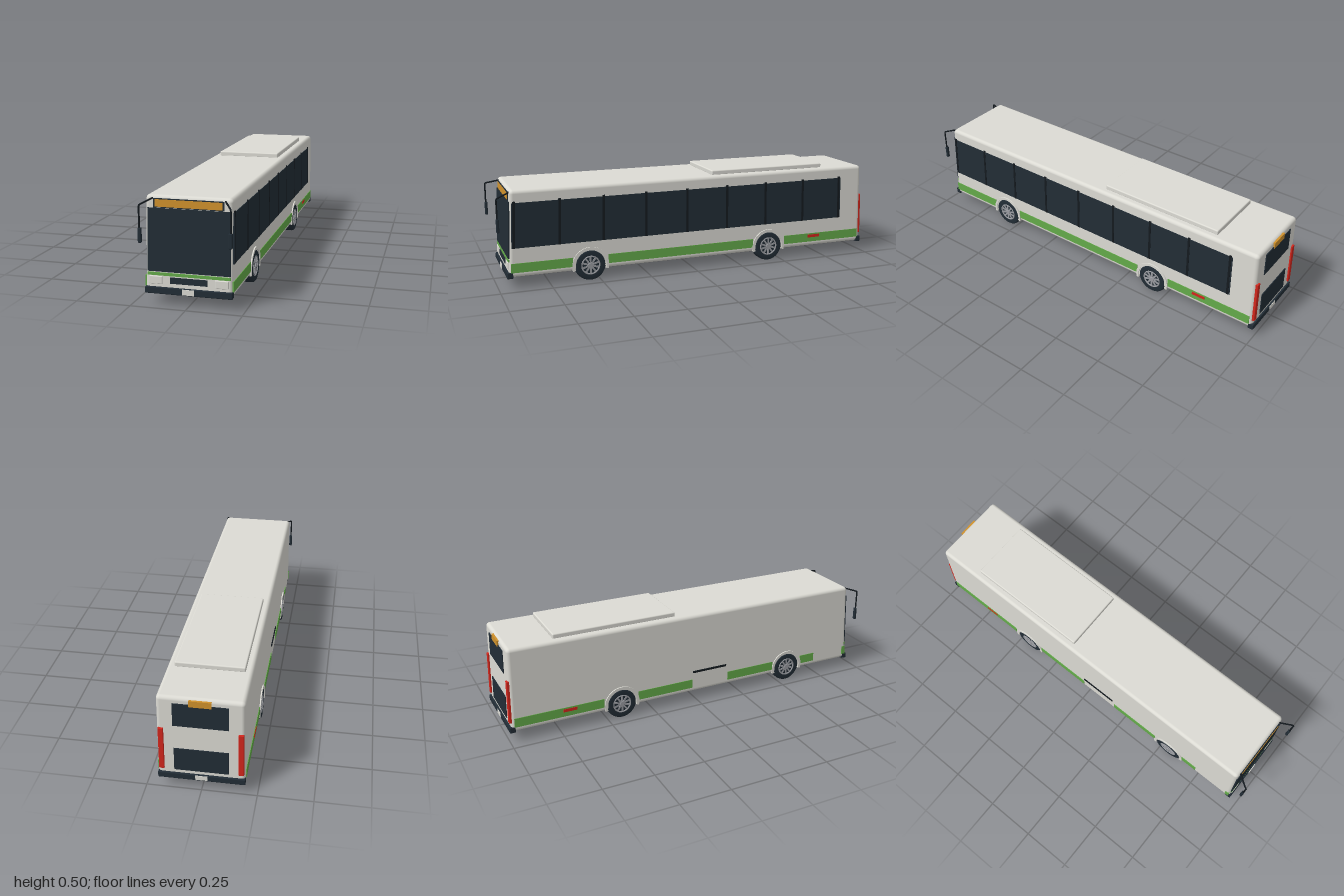
import * as THREE from 'three';
import { RoundedBoxGeometry } from 'three/addons/geometries/RoundedBoxGeometry.js';

const mat = (name, color, side = THREE.FrontSide) => {
  const m = new THREE.MeshStandardMaterial({ color, side });
  m.name = name;
  return m;
};

export function createModel() {
  const bus = new THREE.Group();
  bus.name = 'cityBus';
  const white = mat('bodyWhite', 0xdcdbd4);
  const dark = mat('darkGlass', 0x222d36);
  const black = mat('blackTrim', 0x141a1f);
  const green = mat('stripeGreen', 0x64ab4a);
  const amber = mat('signAmber', 0xd1922c);
  const red = mat('lampRed', 0xd4261c);
  const silver = mat('rimSilver', 0x9b9da2);

  const add = (name, geo, material, parent = bus) => {
    const mesh = new THREE.Mesh(geo, material);
    mesh.name = name;
    parent.add(mesh);
    return mesh;
  };

  // Lean the front, back and sides slightly inwards towards the roof
  const lean = (geo) => {
    const p = geo.attributes.position;
    for (let i = 0; i < p.count; i++) {
      const t = (p.getY(i) - 0.055) / 0.425;
      const z = p.getZ(i);
      p.setX(i, p.getX(i) * (1 - 0.015 * t));
      p.setZ(i, z * (1 - (z > 0 ? 0.022 : 0.01) * t));
    }
    return geo;
  };

  // Box given by its limits; a radius rounds its edges
  const box = (name, material, [x0, x1], [y0, y1], [z0, z1], radius = 0) => {
    const size = [x1 - x0, y1 - y0, z1 - z0];
    const geo = radius ? new RoundedBoxGeometry(...size, 3, radius) : new THREE.BoxGeometry(...size);
    geo.translate((x0 + x1) / 2, (y0 + y1) / 2, (z0 + z1) / 2);
    return add(name, lean(geo), material);
  };

  // Shell and roof unit
  box('body', white, [-0.196, 0.196], [0.055, 0.48], [-0.99, 0.95], 0.018);
  box('roofUnit', white, [-0.162, 0.162], [0.476, 0.502], [-0.757, -0.112], 0.006);

  // Front face
  const F = [0.945, 0.954];
  box('windscreen', dark, [-0.186, 0.186], [0.148, 0.425], F);
  box('destinationPanel', dark, [-0.159, 0.159], [0.427, 0.467], F);
  box('destinationSign', amber, [-0.151, 0.151], [0.431, 0.463], [0.95, 0.956]);
  box('frontStripe', green, [-0.186, 0.186], [0.131, 0.144], F);
  box('grille', dark, [-0.084, 0.084], [0.098, 0.125], F);
  for (const s of [-1, 1]) {
    box('headlight', white, [s * 0.148 - 0.03, s * 0.148 + 0.03], [0.093, 0.128], [0.943, 0.956], 0.003);
  }
  box('frontBumper', dark, [-0.196, 0.196], [0.05, 0.08], [0.93, 0.959], 0.004);
  box('frontPlate', white, [-0.027, 0.027], [0.054, 0.078], [0.956, 0.962]);

  // Rear face
  const R = [-0.994, -0.985];
  box('rearWindow', dark, [-0.124, 0.124], [0.335, 0.45], R);
  box('engineGrille', dark, [-0.122, 0.122], [0.098, 0.214], R);
  box('rearSign', amber, [-0.05, 0.05], [0.442, 0.472], [-0.997, -0.985]);
  for (const s of [-1, 1]) {
    box('tailLamp', red, [s * 0.178 - 0.012, s * 0.178 + 0.012], [0.1, 0.318], [-0.998, -0.98], 0.003);
  }
  box('rearBumper', dark, [-0.196, 0.196], [0.05, 0.08], [-0.999, -0.97], 0.004);
  box('rearPlate', white, [-0.027, 0.027], [0.056, 0.078], [-1.001, -0.995]);

  // Side window band with slim dividers
  box('sideWindows', dark, [0.191, 0.199], [0.2, 0.42], [-0.862, 0.94]);
  for (let i = 0; i < 9; i++) {
    const z = 0.93 - i * 0.2225;
    box('windowDivider', black, [0.194, 0.2005], [0.2, 0.427], [z - 0.006, z + 0.006]);
  }

  // Side stripes, interrupted at the wheels and at the doors
  const stripes = {
    1: [[-0.975, -0.52], [-0.335, 0.46], [0.64, 0.942]],
    '-1': [[-0.975, -0.52], [-0.335, -0.03], [0.18, 0.46], [0.64, 0.73], [0.925, 0.946]],
  };
  for (const s of [1, -1]) {
    const X = (a, b) => (s > 0 ? [a, b] : [-b, -a]);
    for (const span of stripes[s]) box('sideStripe', green, X(0.191, 0.199), [0.079, 0.125], span);
    box('sideMarker', red, X(0.195, 0.201), [0.103, 0.118], [-0.732, -0.662]);
  }
  box('doorRail', black, [-0.201, -0.19], [0.162, 0.172], [-0.025, 0.17]);

  // Wheels: outer face towards +x, turned round for the other side
  const tyreProfile = [[0.047, 0.032], [0.07, 0.034], [0.076, 0.028], [0.078, 0.018],
    [0.078, -0.018], [0.076, -0.028], [0.07, -0.032], [0, -0.032]]
    .map(([r, y]) => new THREE.Vector2(r, y)).reverse();
  const tyreGeo = new THREE.LatheGeometry(tyreProfile, 40).rotateZ(-Math.PI / 2);
  const wellGeo = new THREE.CylinderGeometry(0.049, 0.049, 0.06, 32).rotateZ(-Math.PI / 2);
  const rimGeo = new THREE.TorusGeometry(0.045, 0.004, 8, 40).rotateY(Math.PI / 2);
  const hubGeo = new THREE.CylinderGeometry(0.012, 0.014, 0.008, 20).rotateZ(-Math.PI / 2);
  const spokeGeo = new THREE.BoxGeometry(0.004, 0.036, 0.009).translate(0, 0.027, 0);

  // Arch: a flat half ring ending at the sill
  const a = 0.27;
  const archShape = new THREE.Shape();
  archShape.absarc(0, 0, 0.093, -a, Math.PI + a, false);
  archShape.absarc(0, 0, 0.079, Math.PI + a, -a, true);
  const archGeo = new THREE.ExtrudeGeometry(archShape, { depth: 0.01, bevelEnabled: false, curveSegments: 32 })
    .rotateY(Math.PI / 2);

  for (const s of [1, -1]) {
    for (const z of [0.55, -0.425]) {
      const wheel = new THREE.Group();
      wheel.name = z > 0 ? 'frontWheel' : 'rearWheel';
      wheel.position.set(s * 0.166, 0.078, z);
      if (s < 0) wheel.rotation.y = Math.PI;
      add('tyre', tyreGeo, dark, wheel);
      add('rimWell', wellGeo, dark, wheel);
      add('rim', rimGeo, silver, wheel).position.x = 0.031;
      add('hub', hubGeo, silver, wheel).position.x = 0.032;
      for (let i = 0; i < 10; i++) {
        const spoke = add('spoke', spokeGeo, silver, wheel);
        spoke.position.x = 0.031;
        spoke.rotation.x = (i / 10) * Math.PI * 2;
      }
      add('wheelArch', archGeo, white, wheel).position.x = 0.025;
      bus.add(wheel);
    }
  }

  // Mirrors on bent arms
  for (const s of [1, -1]) {
    const mirror = new THREE.Group();
    mirror.name = 'mirror';
    const pts = [[0.16, 0.467, 0.925], [0.197, 0.45, 0.985], [0.2, 0.446, 0.993], [0.2, 0.34, 0.993]]
      .map(([x, y, z]) => new THREE.Vector3(s * x, y, z));
    const path = new THREE.CurvePath();
    for (let i = 0; i < 3; i++) path.add(new THREE.LineCurve3(pts[i], pts[i + 1]));
    add('mirrorArm', new THREE.TubeGeometry(path, 40, 0.004, 8), black, mirror);
    const head = add('mirrorHead', new RoundedBoxGeometry(0.016, 0.066, 0.014, 3, 0.004), dark, mirror);
    head.position.set(s * 0.199, 0.317, 0.992);
    bus.add(mirror);
  }
  return bus;
}
